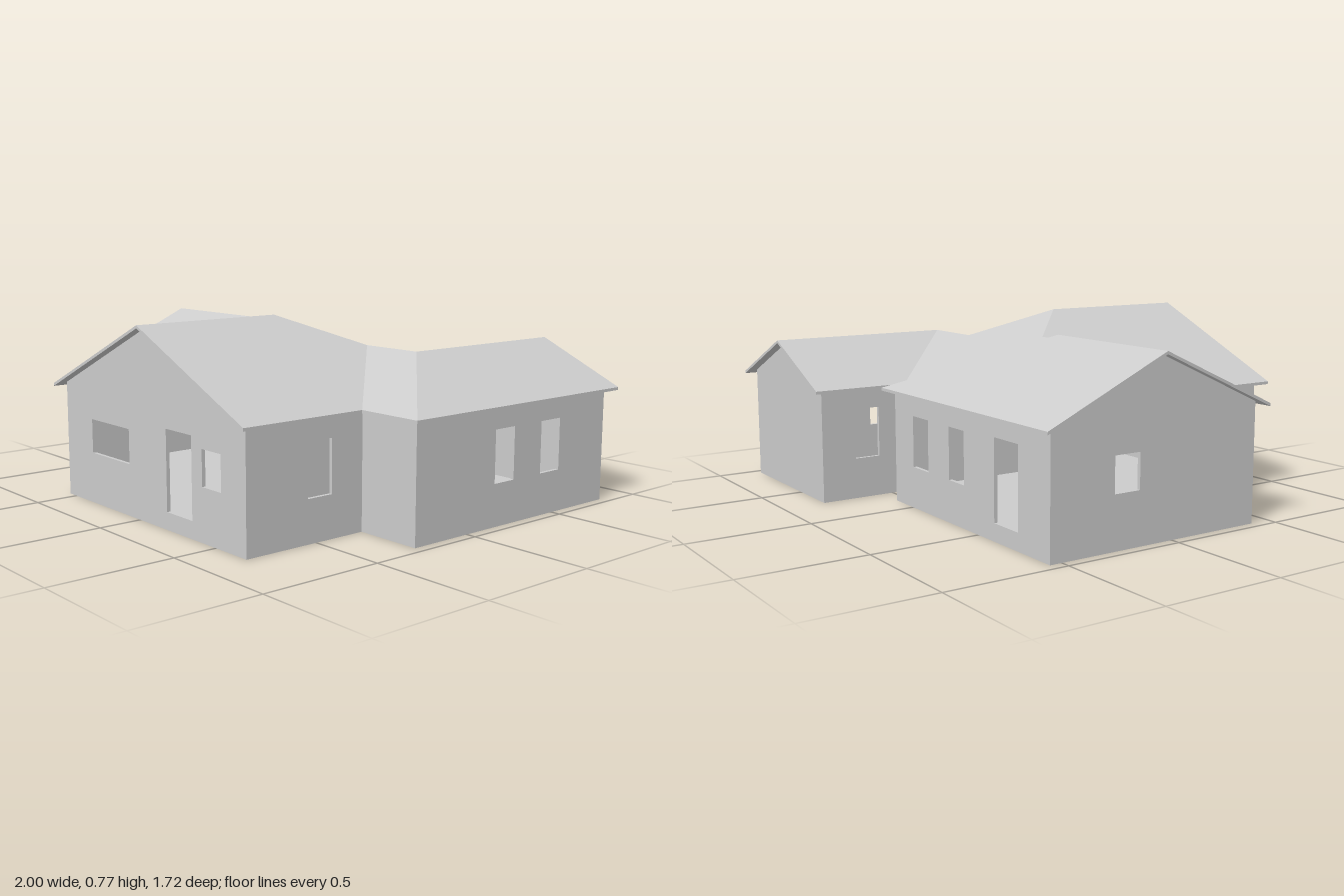
import * as THREE from 'three';

const EAVE = 0.475, PITCH = 0.45, ROOF_T = 0.012, WALL_T = 0.015, OVERHANG = 0.04;
const WALL_TOP = EAVE + OVERHANG * PITCH - ROOF_T;
const FLOOR_T = 0.008;

const material = new THREE.MeshStandardMaterial({ color: 0xcccccc, flatShading: true, side: THREE.DoubleSide });

function addMesh(parent, name, geometry) {
  const mesh = new THREE.Mesh(geometry, material);
  mesh.name = name;
  parent.add(mesh);
  return mesh;
}

// Roof corners: [x, z, run up the slope from the eave]. The first 15 go round the outline.
const corners = [
  [-1, 0.45, 0], [-0.59, 0.45, 0], [-0.59, 0.86, 0], [0.065, 0.86, 0.655], [0.72, 0.86, 0],
  [0.72, 0.315, 0], [1, 0.315, 0], [1, -0.86, 0], [0.615, -0.86, 0.385], [0.23, -0.86, 0],
  [0.23, -0.455, 0], [0.18, -0.455, 0], [0.18, -0.59, 0], [-1, -0.59, 0], [-1, -0.07, 0.52],
  // ridge and valley ends
  [0.065, 0.2, 0.655], [-0.1375, -0.0025, 0.4525], [-0.2725, -0.0025, 0.4525],
  [-0.34, -0.07, 0.52], [0.335, -0.07, 0.385], [0.615, -0.07, 0.385],
];
const OUTLINE = 15;

const slopes = [
  [1, 2, 3, 15, 16], [3, 4, 5, 19, 15],           // front gable
  [0, 1, 16, 17, 18, 14], [14, 18, 12, 13],       // west wing
  [18, 17, 11, 12],                               // west wing hip end
  [15, 16, 17, 11, 10, 20, 19],                   // central rear hip
  [5, 6, 20, 19], [6, 7, 8, 20], [8, 9, 10, 20],  // east wing
];

function roofGeometry() {
  const positions = [];
  const point = (i, drop) => {
    const [x, z, run] = corners[i];
    return [x, EAVE + run * PITCH - drop, z];
  };
  const tri = (...pts) => pts.forEach((p) => positions.push(...p));
  for (const face of slopes) {
    const plan = face.map((i) => new THREE.Vector2(corners[i][0], corners[i][1]));
    for (const t of THREE.ShapeUtils.triangulateShape(plan, [])) {
      const [p, q, r] = t.map((k) => plan[k]);
      const cross = (q.x - p.x) * (r.y - p.y) - (q.y - p.y) * (r.x - p.x);
      const ids = t.map((k) => face[k]);
      if (cross > 0) ids.reverse(); // make the top face up
      tri(...ids.map((i) => point(i, 0)));
      tri(...ids.reverse().map((i) => point(i, ROOF_T)));
    }
  }
  // fascia round the edge
  for (let i = 0; i < OUTLINE; i++) {
    const j = (i + 1) % OUTLINE;
    tri(point(i, ROOF_T), point(j, ROOF_T), point(j, 0));
    tri(point(i, ROOF_T), point(j, 0), point(i, 0));
  }
  const geometry = new THREE.BufferGeometry();
  geometry.setAttribute('position', new THREE.Float32BufferAttribute(positions, 3));
  geometry.computeVertexNormals();
  return geometry;
}

// A wall from a to b with its outside on the right; openings and peak are given
// in the world coordinate that runs along the wall.
function addWall(parent, name, a, b, openings = [], peak = null) {
  const dx = b[0] - a[0], dz = b[1] - a[1];
  const length = Math.hypot(dx, dz);
  const along = (w) => Math.abs(w - (dx !== 0 ? a[0] : a[1]));
  const shape = new THREE.Shape();
  shape.moveTo(0, 0);
  shape.lineTo(length, 0);
  shape.lineTo(length, WALL_TOP);
  if (peak) shape.lineTo(along(peak[0]), peak[1] - ROOF_T);
  shape.lineTo(0, WALL_TOP);
  shape.closePath();
  for (const [w0, w1, y0, y1] of openings) {
    const u0 = Math.min(along(w0), along(w1)), u1 = Math.max(along(w0), along(w1));
    const hole = new THREE.Path();
    hole.moveTo(u0, y0);
    hole.lineTo(u0, y1);
    hole.lineTo(u1, y1);
    hole.lineTo(u1, y0);
    hole.closePath();
    shape.holes.push(hole);
  }
  const geometry = new THREE.ExtrudeGeometry(shape, { depth: WALL_T, bevelEnabled: false });
  geometry.translate(0, 0, -WALL_T);
  const wall = addMesh(parent, name, geometry);
  wall.position.set(a[0], 0, a[1]);
  wall.rotation.y = Math.atan2(-dz, dx);
}

export function createModel() {
  const house = new THREE.Group();
  house.name = 'house';

  addMesh(house, 'roof', roofGeometry());

  // Opening heights
  const tall = [0.17, 0.38], small = [0.21, 0.35], door = [0.07, 0.39];

  // Wall corners, going round in the same order as the roof outline
  const plan = [
    [-0.96, 0.41], [-0.55, 0.41], [-0.55, 0.82], [0.68, 0.82], [0.68, 0.275], [0.96, 0.275],
    [0.96, -0.82], [0.27, -0.82], [0.27, -0.415], [0.14, -0.415], [0.14, -0.55], [-0.96, -0.55],
  ];
  const ridge = (run) => EAVE + run * PITCH;
  const walls = [
    ['westWingFrontWall'],
    ['frontBlockWestWall'],
    ['frontGableWall', [[-0.35, -0.07, ...small], [0.19, 0.355, ...door], [0.42, 0.535, ...small]], [0.065, ridge(0.655)]],
    ['frontBlockEastWall', [[0.54, 0.425, ...tall]]],
    ['eastWingFrontWall'],
    ['eastWingSideWall', [[-0.15, -0.26, ...tall], [-0.42, -0.535, ...tall]]],
    ['eastWingGableWall', [], [0.615, ridge(0.385)]],
    ['eastWingInnerWall', [[-0.67, -0.56, ...tall]]],
    ['rearNotchWall'],
    ['rearNotchSideWall'],
    ['westWingRearWall', [[-0.01, -0.13, ...tall], [-0.29, -0.4, ...tall], [-0.61, -0.765, ...door]]],
    ['westWingGableWall', [[-0.27, -0.155, ...small]], [-0.07, ridge(0.52)]],
  ];
  const wallGroup = new THREE.Group();
  wallGroup.name = 'walls';
  house.add(wallGroup);
  walls.forEach(([name, openings, peak], i) =>
    addWall(wallGroup, name, plan[i], plan[(i + 1) % plan.length], openings, peak));

  // Inner wall dividing off the east wing
  addWall(wallGroup, 'partitionWall', [0.27, -0.415], [0.27, 0.275]);

  // Floor slab
  const floorShape = new THREE.Shape(plan.map(([x, z]) => new THREE.Vector2(x, -z)));
  const floorGeometry = new THREE.ExtrudeGeometry(floorShape, { depth: FLOOR_T, bevelEnabled: false });
  floorGeometry.rotateX(-Math.PI / 2);
  addMesh(house, 'floor', floorGeometry);

  return house;
}
